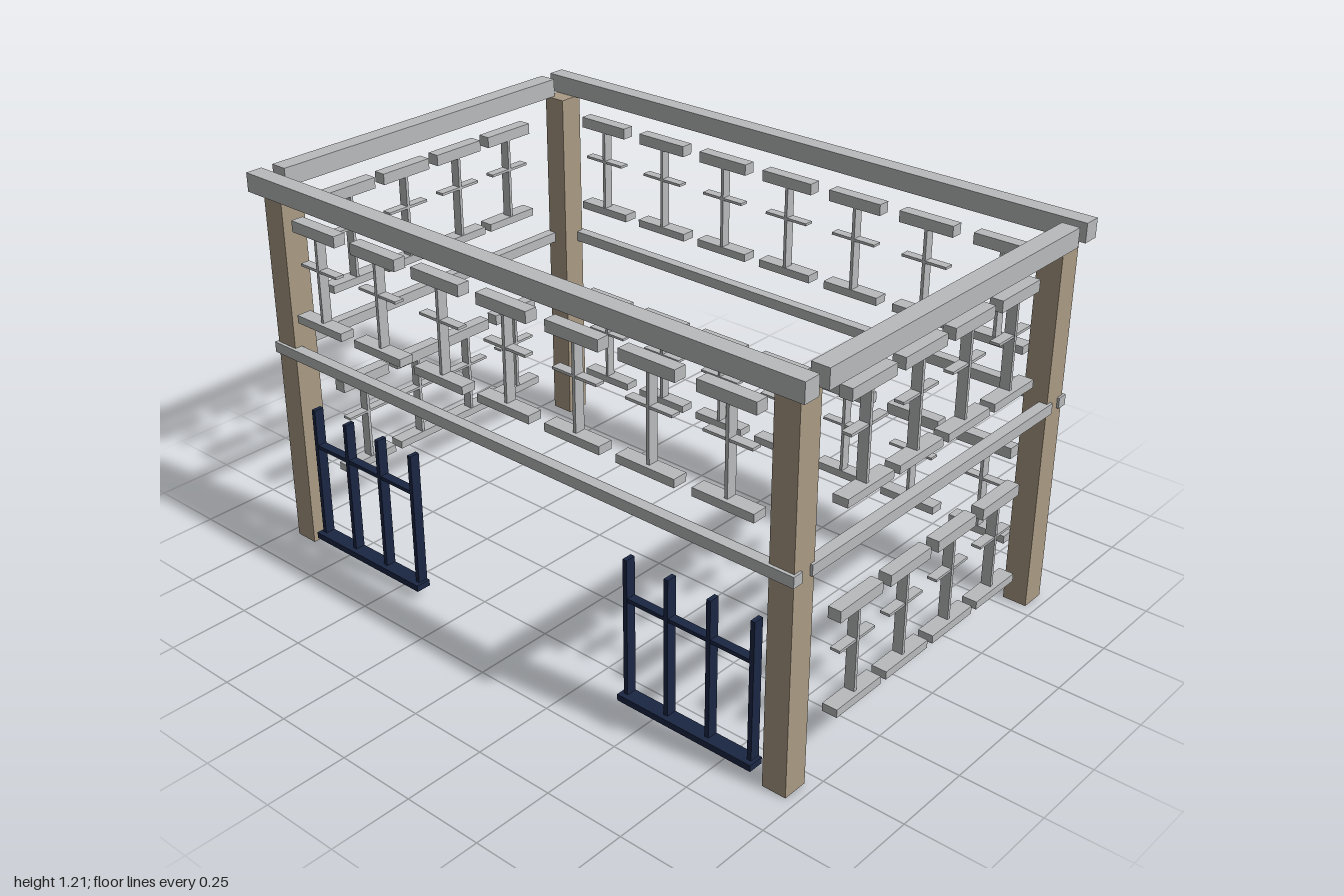
import * as THREE from 'three';

const stone = new THREE.MeshStandardMaterial({ color: 0xb9bbbc });
stone.name = 'grey stone';
const timber = new THREE.MeshStandardMaterial({ color: 0xaa9b85 });
timber.name = 'tan column';
const iron = new THREE.MeshStandardMaterial({ color: 0x1a2643 });
iron.name = 'navy iron';

// Box given by its extents on each axis
function bar(parent, name, material, [x0, x1], [y0, y1], [z0, z1]) {
  const mesh = new THREE.Mesh(new THREE.BoxGeometry(x1 - x0, y1 - y0, z1 - z0), material);
  mesh.position.set((x0 + x1) / 2, (y0 + y1) / 2, (z0 + z1) / 2);
  mesh.name = name;
  parent.add(mesh);
  return mesh;
}

// Window facing +z; z = 0 is its inner face, y = 0 the underside of its sill
function makeWindow() {
  const g = new THREE.Group();
  g.name = 'window';
  bar(g, 'sill', stone, [-0.097, 0.097], [0, 0.025], [0, 0.047]);
  bar(g, 'lintel', stone, [-0.092, 0.092], [0.286, 0.321], [0, 0.04]);
  bar(g, 'mullion', stone, [-0.005, 0.005], [0.025, 0.286], [0.002, 0.034]);
  bar(g, 'transom', stone, [-0.077, 0.077], [0.182, 0.19], [0.002, 0.032]);
  return g;
}

// One wall's row of evenly spaced windows
function windowRow(name, count, spacing, y, distance, turn) {
  const row = new THREE.Group();
  row.name = name;
  for (let i = 0; i < count; i++) {
    const w = makeWindow();
    w.position.set((i - (count - 1) / 2) * spacing, y, distance);
    row.add(w);
  }
  row.rotation.y = turn;
  return row;
}

// Barred gate centred on x
function makeGate(x, name) {
  const g = new THREE.Group();
  g.name = name;
  bar(g, 'gateBase', iron, [-0.23, 0.23], [0.033, 0.053], [0.58, 0.628]);
  for (let i = 0; i < 4; i++) {
    const c = (i - 1.5) * 0.142;
    bar(g, 'gateUpright', iron, [c - 0.007, c + 0.007], [0.053, 0.48], [0.58, 0.612]);
  }
  bar(g, 'gateCrossbar', iron, [-0.213, 0.213], [0.35, 0.362], [0.582, 0.61]);
  g.position.x = x;
  return g;
}

export function createModel() {
  const model = new THREE.Group();
  model.name = 'buildingFrame';

  // Corner columns
  for (const x of [-0.93, 0.93])
    for (const z of [-0.578, 0.578])
      bar(model, 'column', timber, [x - 0.038, x + 0.038], [0, 1.15], [z - 0.04, z + 0.04]);

  // Cornice and floor band on all four sides
  const bands = [
    { name: 'cornice', y: [1.15, 1.208], half: 1.0, z: [0.594, 0.648], x: [0.945, 1.0] },
    { name: 'floorBand', y: [0.64, 0.673], half: 0.975, z: [0.594, 0.628], x: [0.942, 0.976] },
  ];
  for (const b of bands)
    for (const s of [-1, 1]) {
      const flip = ([a, c]) => (s > 0 ? [a, c] : [-c, -a]);
      bar(model, b.name, stone, [-b.half, b.half], b.y, flip(b.z));
      bar(model, b.name + 'Side', stone, flip(b.x), b.y, [-0.555, 0.555]);
    }

  // Window rows; the lower front stays open for the gates
  for (const [floor, y] of [['lower', 0.148], ['upper', 0.773]]) {
    if (floor === 'upper') model.add(windowRow('upperFrontWindows', 7, 0.2513, y, 0.582, 0));
    model.add(windowRow(floor + 'BackWindows', 7, 0.2513, y, 0.582, Math.PI));
    model.add(windowRow(floor + 'LeftWindows', 4, 0.219, y, 0.932, Math.PI / 2));
    model.add(windowRow(floor + 'RightWindows', 4, 0.219, y, 0.932, -Math.PI / 2));
  }

  // Front gates
  model.add(makeGate(0.63, 'leftGate'), makeGate(-0.63, 'rightGate'));
  return model;
}
